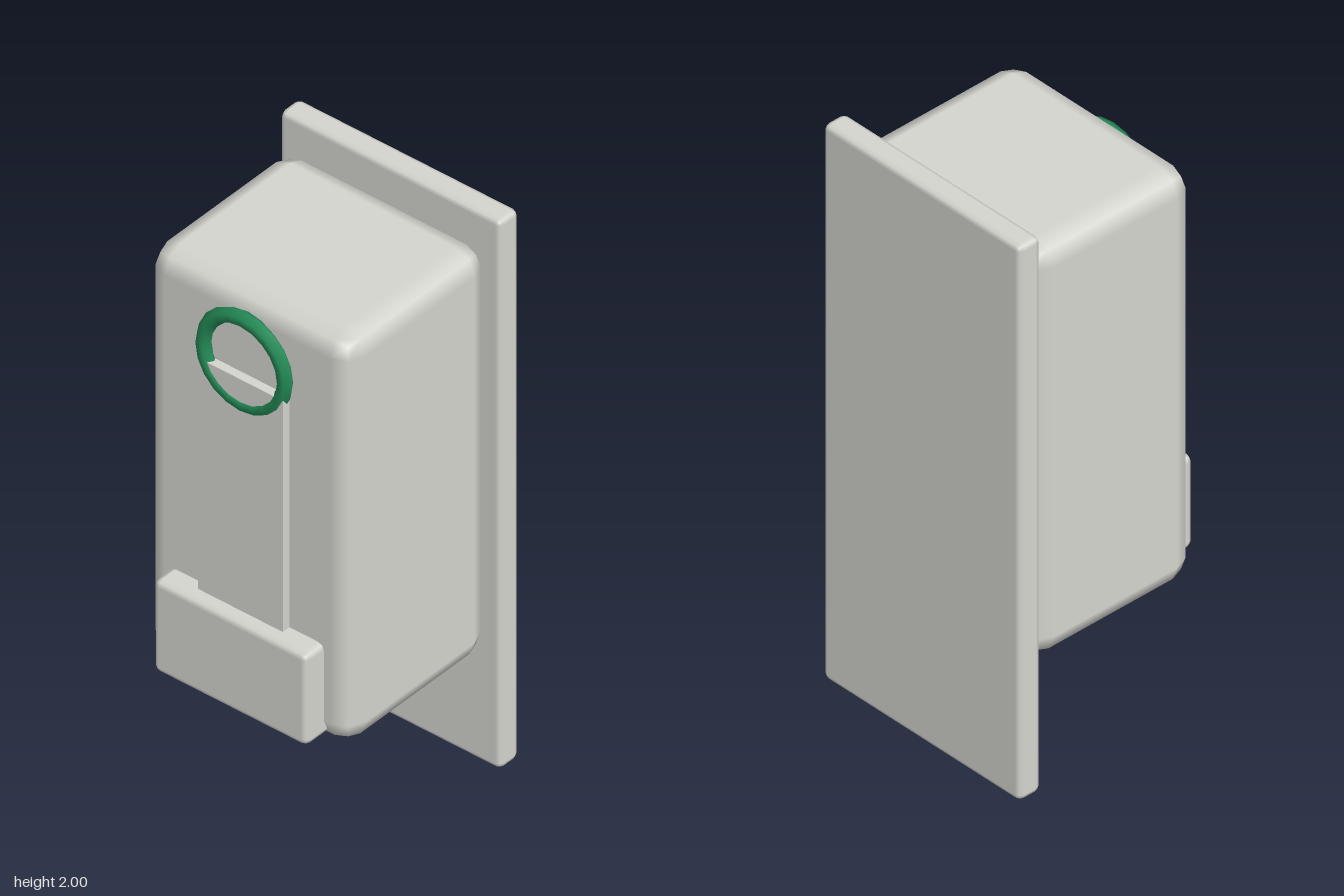
import * as THREE from 'three';
import { RoundedBoxGeometry } from 'three/addons/geometries/RoundedBoxGeometry.js';

const material = (name, color) => {
  const m = new THREE.MeshStandardMaterial({ color });
  m.name = name;
  return m;
};

export function createModel() {
  const grey = material('light grey plastic', 0xd6d6d0);
  const green = material('green ring', 0x238a56);
  const dark = material('dark nozzle', 0x2a2a33);
  const group = new THREE.Group();
  group.name = 'wallDispenser';

  // Bevelled box given by its minimum and maximum corners
  const block = (name, mat, min, max, radius) => {
    const size = max.map((v, i) => v - min[i]);
    const geometry = radius
      ? new RoundedBoxGeometry(...size, 1, radius)
      : new THREE.BoxGeometry(...size);
    const mesh = new THREE.Mesh(geometry, mat);
    mesh.name = name;
    mesh.position.set(...max.map((v, i) => (v + min[i]) / 2));
    group.add(mesh);
  };

  block('backPlate', grey, [-0.417, 0, -0.405], [0.417, 2, -0.319], 0.02);
  block('body', grey, [-0.386, 0.425, -0.316], [0.386, 1.905, 0.325], 0.075);
  block('frontStrip', grey, [-0.16, 0.7, 0.3], [0.16, 1.62, 0.355], 0);
  block('pushBar', grey, [-0.29, 0.445, 0.28], [0.29, 0.778, 0.404], 0.022);
  block('nozzle', dark, [-0.115, 0.287, 0.018], [0.115, 0.415, 0.205], 0.03);

  // Ring around the top of the strip
  const ring = new THREE.Mesh(new THREE.TorusGeometry(0.154, 0.026, 6, 20), green);
  ring.name = 'indicatorRing';
  ring.position.set(0, 1.675, 0.336);
  group.add(ring);

  return group;
}
